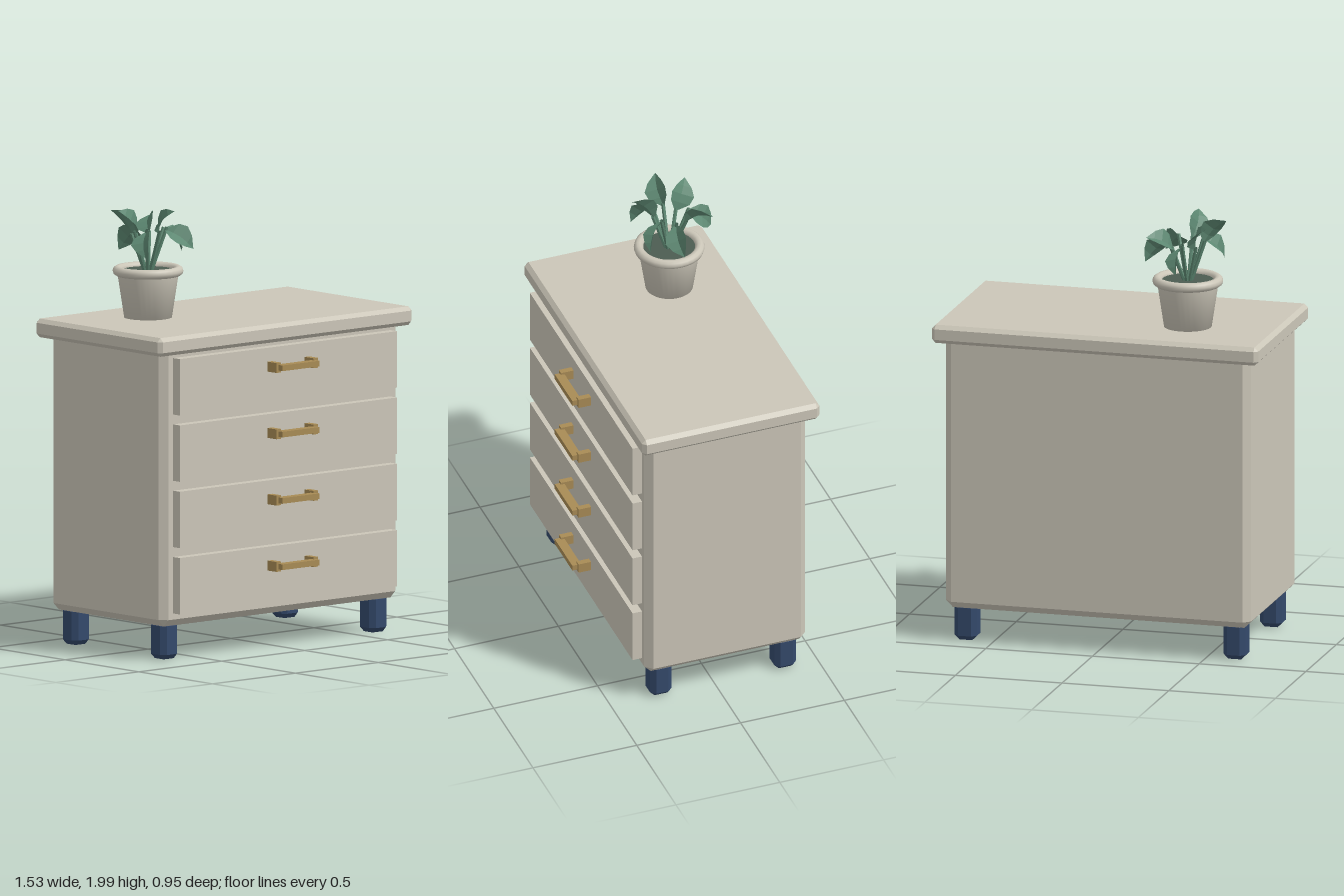
import * as THREE from 'three';
import { ConvexGeometry } from 'three/addons/geometries/ConvexGeometry.js';

const mat = (color, extra = {}) => {
  const m = new THREE.MeshStandardMaterial(extra);
  m.color.set(color);
  return m;
};
const paint = mat(0xcbc6b8, { flatShading: true });
const ceramic = mat(0xcbc6b8);
const brass = mat(0xa88b55, { flatShading: true });
const navy = mat(0x34496b, { flatShading: true });
const soilMat = mat(0x4c5c52);
const leafMat = mat(0x5d8872, { flatShading: true, side: THREE.DoubleSide });

function add(parent, name, geometry, material, x = 0, y = 0, z = 0) {
  const mesh = new THREE.Mesh(geometry, material);
  mesh.name = name;
  mesh.position.set(x, y, z);
  parent.add(mesh);
  return mesh;
}

// Box with every edge cut at 45 degrees by c
function chamferBox(w, h, d, c) {
  const pts = [];
  for (const x of [-w / 2, w / 2])
    for (const y of [-h / 2, h / 2])
      for (const z of [-d / 2, d / 2]) {
        const [i, j, k] = [x, y, z].map((v) => v - Math.sign(v) * c);
        pts.push(new THREE.Vector3(x, j, k), new THREE.Vector3(i, y, k), new THREE.Vector3(i, j, z));
      }
  return new ConvexGeometry(pts);
}

// Pointed leaf along +x, folded along its midrib and curving down to the tip
function leafGeometry(length, width) {
  const g = new THREE.PlaneGeometry(1, 1, 4, 2);
  g.rotateX(-Math.PI / 2);
  const p = g.attributes.position;
  const profile = [0.1, 0.85, 1, 0.65, 0];
  for (let i = 0; i < p.count; i++) {
    const t = p.getX(i) + 0.5;
    const side = p.getZ(i) * 2;
    const half = (profile[Math.round(t * 4)] * width) / 2;
    p.setXYZ(i, t * length, Math.abs(side) * half * 0.4 + 0.02 * Math.sin(t * Math.PI), side * half);
  }
  g.computeVertexNormals();
  return g;
}

function makeHandle() {
  const handle = new THREE.Group();
  handle.name = 'handle';
  for (const s of [-1, 1])
    add(handle, 'handlePost', new THREE.BoxGeometry(0.028, 0.045, 0.06), brass, s * 0.112, 0, 0.03);
  add(handle, 'handleBar', new THREE.BoxGeometry(0.225, 0.026, 0.042), brass, 0, 0, 0.064);
  return handle;
}

function makePlant() {
  const plant = new THREE.Group();
  plant.name = 'pottedPlant';

  // Pot, rolled rim and soil
  const wall = [[0, 0], [0.108, 0], [0.14, 0.21], [0.125, 0.21], [0.122, 0.18]];
  const pot = new THREE.LatheGeometry(wall.map(([r, y]) => new THREE.Vector2(r, y)), 32);
  add(plant, 'pot', pot, mat(0xcbc6b8, { side: THREE.DoubleSide }));
  const rim = new THREE.TorusGeometry(0.138, 0.022, 10, 32);
  rim.rotateX(Math.PI / 2);
  add(plant, 'potRim', rim, ceramic, 0, 0.212, 0);
  add(plant, 'soil', new THREE.CylinderGeometry(0.128, 0.128, 0.02, 32), soilMat, 0, 0.205, 0);

  // Stems fan out; each leaf is [stem reach, stem height, pitch, roll]
  const leaves = [
    [0.095, 0.4, -0.75, 0.8],
    [0.085, 0.38, 0.45, -0.7],
    [0.095, 0.4, -0.75, 0.8],
    [0.075, 0.38, 0.85, 0.7],
    [0.08, 0.4, 0.8, -0.8],
    [0.085, 0.41, -0.75, 0.7],
    [0.08, 0.4, 0.8, 0.8],
    [0.085, 0.41, -0.6, 0.8],
  ];
  leaves.forEach(([reach, height, pitch, roll], i) => {
    const angle = (i * Math.PI) / 4;
    const branch = new THREE.Group();
    branch.name = 'leafBranch';
    branch.rotation.y = angle;
    const path = new THREE.LineCurve3(new THREE.Vector3(0.012, 0.2, 0), new THREE.Vector3(reach, height, 0));
    add(branch, 'stem', new THREE.TubeGeometry(path, 1, 0.009, 6), leafMat);
    const leaf = add(branch, 'leaf', leafGeometry(0.155, 0.11), leafMat, reach - 0.008, height - 0.01, 0);
    leaf.rotation.set(roll, 0, pitch, 'YZX');
    plant.add(branch);
  });
  return plant;
}

export function createModel() {
  const model = new THREE.Group();
  model.name = 'dresserWithPlant';

  // Carcass and overhanging top
  add(model, 'carcass', chamferBox(1.43, 1.27, 0.775, 0.032), paint, 0, 0.79, -0.043);
  add(model, 'tabletop', chamferBox(1.53, 0.085, 0.855, 0.018), paint, 0, 1.4375, -0.0475);

  // Four drawer fronts with handles
  for (let i = 0; i < 4; i++) {
    const y = 0.344 + i * 0.302;
    add(model, 'drawerFront', new THREE.BoxGeometry(1.31, 0.257, 0.06), paint, 0, y, 0.36);
    const handle = makeHandle();
    handle.position.set(0, y + 0.043, 0.39);
    model.add(handle);
  }

  // Short legs
  for (const x of [-0.63, 0.63])
    for (const z of [0.256, -0.343])
      add(model, 'leg', chamferBox(0.104, 0.175, 0.104, 0.022), navy, x, 0.0875, z);

  const plant = makePlant();
  plant.position.set(-0.352, 1.48, -0.167);
  model.add(plant);
  return model;
}
